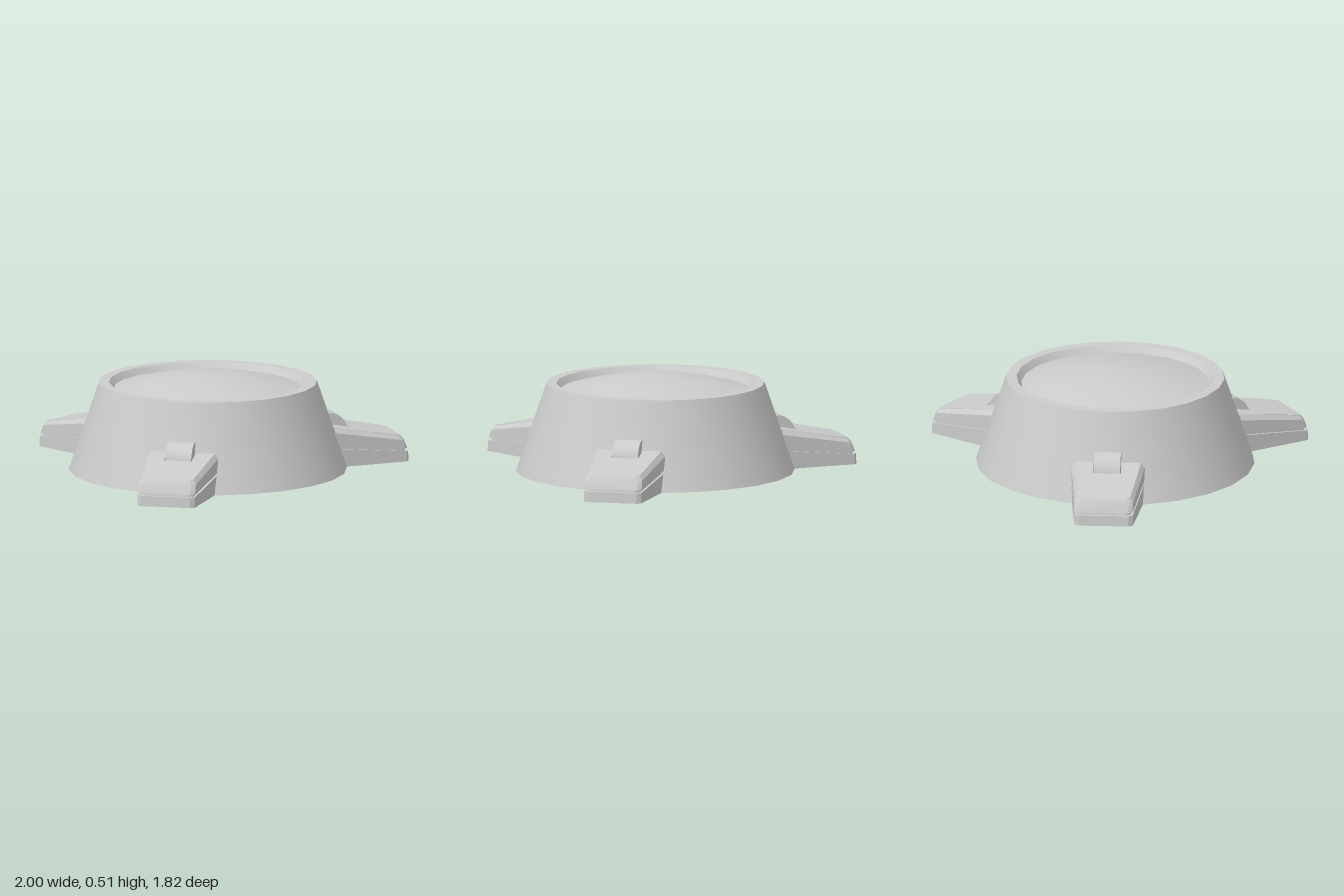
import * as THREE from 'three';
import { toCreasedNormals } from 'three/addons/utils/BufferGeometryUtils.js';

const material = new THREE.MeshStandardMaterial({ color: 0xcccccc, side: THREE.DoubleSide });
const INNER = 0.65; // radius where a foot enters the body

function part(name, geometry, crease = 0.45) {
  const mesh = new THREE.Mesh(toCreasedNormals(geometry, crease), material);
  mesh.name = name;
  return mesh;
}

function lathe(points) {
  return new THREE.LatheGeometry(points.map(([r, y]) => new THREE.Vector2(r, y)), 24);
}

// U-shaped outline of a foot: inner end, chamfered outer corners, inner end
function footLayer([wi, wo, yi, yo, zo]) {
  const half = [[wi, yi, INNER], [wo, yo, zo - 0.015], [wo - 0.022, yo, zo]];
  return [...half, ...half.map(([x, y, z]) => [-x, y, z]).reverse()];
}

// Walls of a foot: inside, bottom rim, lower band, groove, upper band, bevel
function footWalls() {
  const layers = [
    [0.16, 0.125, 0.195, 0.12, 0.85],
    [0.17, 0.13, 0, 0, 1.05],
    [0.195, 0.155, 0, 0, 1.078],
    [0.195, 0.155, 0.1, 0.055, 1.074],
    [0.183, 0.143, 0.1, 0.055, 1.06],
    [0.183, 0.143, 0.115, 0.07, 1.057],
    [0.195, 0.155, 0.115, 0.07, 1.069],
    [0.195, 0.155, 0.185, 0.118, 1.05],
    [0.175, 0.14, 0.213, 0.14, 1.035],
  ];
  layers[0][4] = 1.01;
  const rings = layers.map(footLayer);
  const n = rings[0].length;
  const index = [];
  for (let i = 0; i < rings.length - 1; i++) {
    for (let j = 0; j < n - 1; j++) {
      const a = i * n + j, b = a + 1, c = a + n, d = c + 1;
      index.push(a, c, b, b, c, d);
    }
  }
  const geometry = new THREE.BufferGeometry();
  geometry.setAttribute('position', new THREE.Float32BufferAttribute(rings.flat(2), 3));
  geometry.setIndex(index);
  geometry.computeVertexNormals();
  return geometry;
}

// Sloping top plate with a notch for the hinge
function footTop() {
  const half = [[0.075, 0.77], [0.075, INNER], [0.175, INNER], [0.14, 1.02], [0.118, 1.035]];
  const outline = [...half, ...half.map(([x, z]) => [-x, z]).reverse()];
  const shape = new THREE.Shape(outline.map(([x, z]) => new THREE.Vector2(x, z)));
  const geometry = new THREE.ExtrudeGeometry(shape, { depth: 0.02, bevelEnabled: false });
  const p = geometry.attributes.position;
  for (let i = 0; i < p.count; i++) {
    const z = p.getY(i);
    const top = THREE.MathUtils.mapLinear(z, INNER, 1.035, 0.213, 0.14);
    p.setXYZ(i, p.getX(i), top - p.getZ(i), z);
  }
  geometry.computeVertexNormals();
  return geometry;
}

function createFoot() {
  const foot = new THREE.Group();
  const hinge = part('hinge', new THREE.CylinderGeometry(0.105, 0.105, 0.14, 24));
  hinge.rotation.z = Math.PI / 2;
  hinge.position.set(0, 0.165, 0.655);
  foot.add(part('footWalls', footWalls()), part('footTop', footTop()), hinge);
  return foot;
}

export function createModel() {
  const model = new THREE.Group();
  model.name = 'domedBase';

  // Tapered shell, open below, with a flat rim
  model.add(part('body', lathe([[0.74, 0], [0.58, 0.47], [0.525, 0.47], [0.5, 0.435]])));

  // Shallow lid set inside the rim
  const lid = [[0.5, 0.435], [0.43, 0.452], [0.35, 0.472], [0.25, 0.491], [0.15, 0.505], [0.07, 0.512], [0, 0.515]];
  model.add(part('lid', lathe(lid)));

  // Three feet around the body
  ['frontFoot', 'leftFoot', 'rightFoot'].forEach((name, i) => {
    const foot = createFoot();
    foot.name = name;
    foot.rotation.y = (i * Math.PI * 2) / 3;
    model.add(foot);
  });

  model.children.forEach((child) => { child.position.z = -0.172; });
  return model;
}
